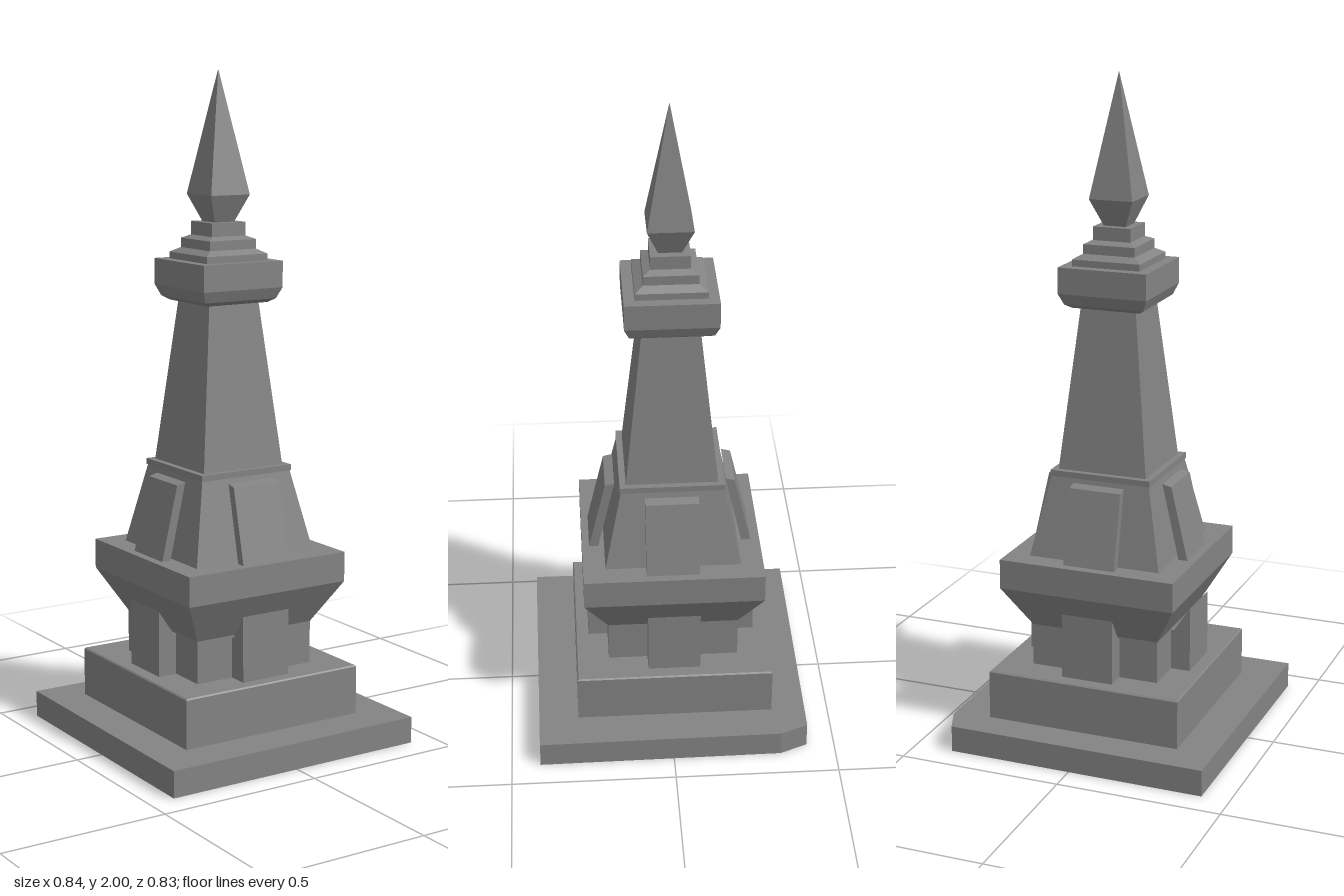
import * as THREE from 'three';

const material = new THREE.MeshStandardMaterial({ color: 0x838383, flatShading: true });
const AXIS_Z = -0.01; // the tower stands slightly behind the slab's centre

// Square tier: profile of [halfWidth, y] pairs from bottom to top, closed at both ends
function squareTier(name, profile) {
  const pts = [[0, profile[0][1]], ...profile, [0, profile[profile.length - 1][1]]]
    .map(([h, y]) => new THREE.Vector2(h * Math.SQRT2, y));
  const mesh = new THREE.Mesh(new THREE.LatheGeometry(pts, 4, Math.PI / 4), material);
  mesh.name = name;
  return mesh;
}

function polygon(points) {
  return new THREE.Shape(points.map(([x, y]) => new THREE.Vector2(x, y)));
}

// Side profile (outward distance, y) extruded to a width and repeated on all four faces
function fourPanels(name, profile, width) {
  const group = new THREE.Group();
  group.name = name + 's';
  const geometry = new THREE.ExtrudeGeometry(polygon(profile), { depth: width, bevelEnabled: false });
  geometry.translate(0, 0, -width / 2);
  for (let i = 0; i < 4; i++) {
    const panel = new THREE.Mesh(geometry, material);
    panel.name = name;
    panel.rotation.y = i * Math.PI / 2;
    group.add(panel);
  }
  return group;
}

export function createModel() {
  const model = new THREE.Group();
  model.name = 'monument';

  // Ground slab with one chipped corner at the back
  const slabShape = polygon([
    [-0.42, -0.415], [0.42, -0.412], [0.414, 0.33], [0.38, 0.414], [-0.415, 0.418],
  ]);
  const slabGeometry = new THREE.ExtrudeGeometry(slabShape, { depth: 0.08, bevelEnabled: false });
  slabGeometry.rotateX(-Math.PI / 2);
  const slab = new THREE.Mesh(slabGeometry, material);
  slab.name = 'groundSlab';
  model.add(slab);

  const tower = new THREE.Group();
  tower.name = 'tower';
  tower.position.z = AXIS_Z;
  model.add(tower);

  // Leaning panels around the shaft base; the front one sits a little off centre
  const leaningPanels = fourPanels('leaningPanel',
    [[0.22, 0.58], [0.248, 0.58], [0.196, 0.803], [0.168, 0.81]], 0.16);
  leaningPanels.position.z = 0.003;
  leaningPanels.children[3].position.x = 0.006;

  tower.add(
    squareTier('plinth', [[0.301, 0.08], [0.301, 0.227], [0.297, 0.231]]),
    // Narrow pedestal flaring out into a cornice
    squareTier('pedestal', [[0.2, 0.23], [0.2, 0.36], [0.273, 0.49], [0.273, 0.58]]),
    fourPanels('pedestalPanel',
      [[0.19, 0.23], [0.26, 0.23], [0.259, 0.43], [0.208, 0.355], [0.19, 0.355]], 0.16),
    // Sloping base of the shaft with a thin lip
    squareTier('shaftBase', [[0.205, 0.58], [0.154, 0.822], [0.157, 0.822], [0.157, 0.84]]),
    leaningPanels,
    squareTier('shaft', [[0.138, 0.84], [0.086, 1.325]]),
    squareTier('capital', [[0.105, 1.325], [0.123, 1.337], [0.137, 1.37], [0.137, 1.448]]),
    // Stepped crown and neck
    squareTier('crownSteps', [
      [0.105, 1.448], [0.105, 1.468], [0.08, 1.482],
      [0.08, 1.51], [0.058, 1.52], [0.058, 1.56],
    ]),
    squareTier('spire', [[0.034, 1.56], [0.067, 1.64], [0.0005, 2]]),
  );

  return model;
}
